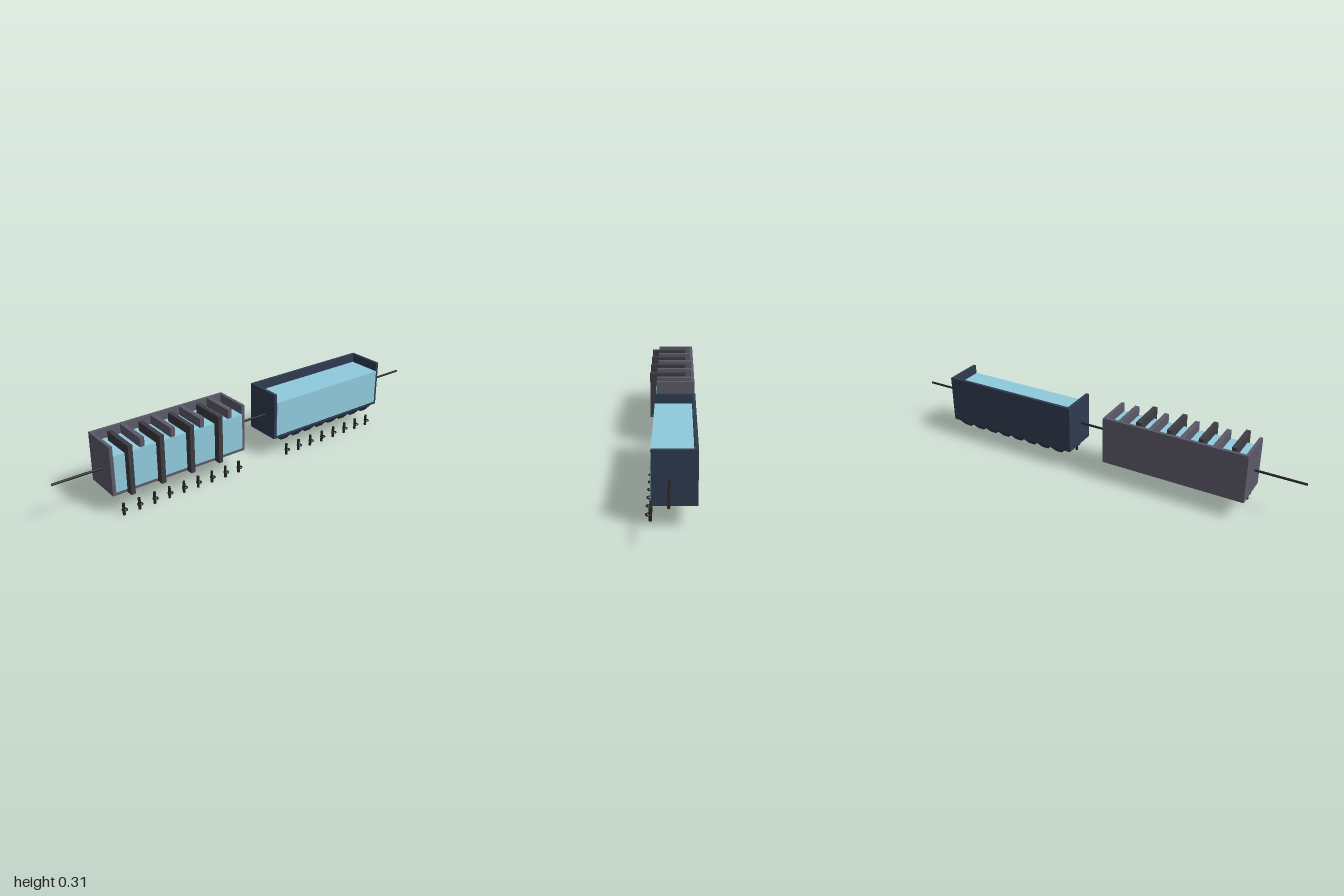
import * as THREE from 'three';

const mat = (color) => new THREE.MeshStandardMaterial({ color });
const grey = mat(0x5c5a69), dark = mat(0x3c3c42), navy = mat(0x2f3b50);
const water = mat(0x8fcbde), black = mat(0x222222);

function add(parent, name, geometry, material) {
  const mesh = new THREE.Mesh(geometry, material);
  mesh.name = name;
  parent.add(mesh);
  return mesh;
}

// Box given by its minimum and maximum corners
function box(parent, name, material, [x0, y0, z0], [x1, y1, z1]) {
  const g = new THREE.BoxGeometry(x1 - x0, y1 - y0, z1 - z0);
  g.translate((x0 + x1) / 2, (y0 + y1) / 2, (z0 + z1) / 2);
  return add(parent, name, g, material);
}

const Y0 = 0.132, Y1 = 0.348, ZB = -0.104, ZF = 0.067, T = 0.014;

// Basin open at the top and front, filled with water
function basin(name, x0, x1, material) {
  const group = new THREE.Group();
  group.name = name;
  box(group, 'floor', material, [x0, Y0, ZB], [x1, Y0 + T, ZF]);
  box(group, 'backWall', material, [x0, Y0, ZB], [x1, Y1, ZB + T]);
  box(group, 'rightWall', material, [x0, Y0, ZB], [x0 + T, Y1, ZF]);
  box(group, 'leftWall', material, [x1 - T, Y0, ZB], [x1, Y1, ZF]);
  box(group, 'water', water, [x0 + T, Y0 + T, ZB + T], [x1 - T, 0.307, 0.07]);
  return group;
}

// Sludge hopper: a box whose lower face is drawn in
function hopper(parent, x) {
  const g = new THREE.BoxGeometry(0.072, 0.026, ZF - ZB).toNonIndexed();
  const p = g.attributes.position;
  for (let i = 0; i < p.count; i++) {
    if (p.getY(i) < 0) {
      p.setX(i, p.getX(i) * 0.45);
      p.setZ(i, p.getZ(i) * 0.8);
    }
  }
  g.computeVertexNormals();
  add(parent, 'hopper', g, navy).position.set(x, Y0 - 0.013, (ZF + ZB) / 2);
}

// Valve: upright body with a horizontal hand ring
function valve(parent, x) {
  const group = new THREE.Group();
  group.name = 'valve';
  add(group, 'valveBody', new THREE.CylinderGeometry(0.006, 0.006, 0.053, 16), black).position.z = 0.072;
  const ring = add(group, 'valveRing', new THREE.TorusGeometry(0.01, 0.003, 8, 20), black);
  ring.rotation.x = Math.PI / 2;
  ring.position.z = 0.079;
  group.position.set(x, 0.063, 0);
  parent.add(group);
}

function pipe(parent, x0, x1) {
  const mesh = add(parent, 'pipe', new THREE.CylinderGeometry(0.005, 0.005, x1 - x0, 16), black);
  mesh.rotation.z = Math.PI / 2;
  mesh.position.set((x0 + x1) / 2, 0.231, 0);
}

export function createModel() {
  const model = new THREE.Group();
  model.name = 'waterTreatmentBasins';

  // Mixing basin with staggered baffles
  const mixing = basin('mixingBasin', -0.784, -0.14, grey);
  for (let i = 0; i < 4; i++) {
    const x = -0.711 + i * 0.141;
    box(mixing, 'frontBaffle', dark, [x - 0.01, Y0, -0.065], [x + 0.01, Y1, 0.1]);
    box(mixing, 'backBaffle', grey, [x + 0.061, Y0, ZB], [x + 0.081, Y1, ZF]);
  }
  for (let i = 0; i < 9; i++) valve(mixing, -0.745 + i * 0.071);
  model.add(mixing);

  // Settling basin with hoppers underneath
  const settling = basin('settlingBasin', 0.026, 0.67, navy);
  for (let i = 0; i < 8; i++) {
    const x = 0.096 + i * 0.0725;
    hopper(settling, x);
    valve(settling, x);
  }
  model.add(settling);

  // Inlet, connecting and outlet pipes
  pipe(model, -1, -0.775);
  pipe(model, -0.15, 0.036);
  pipe(model, 0.66, 0.885);
  return model;
}
